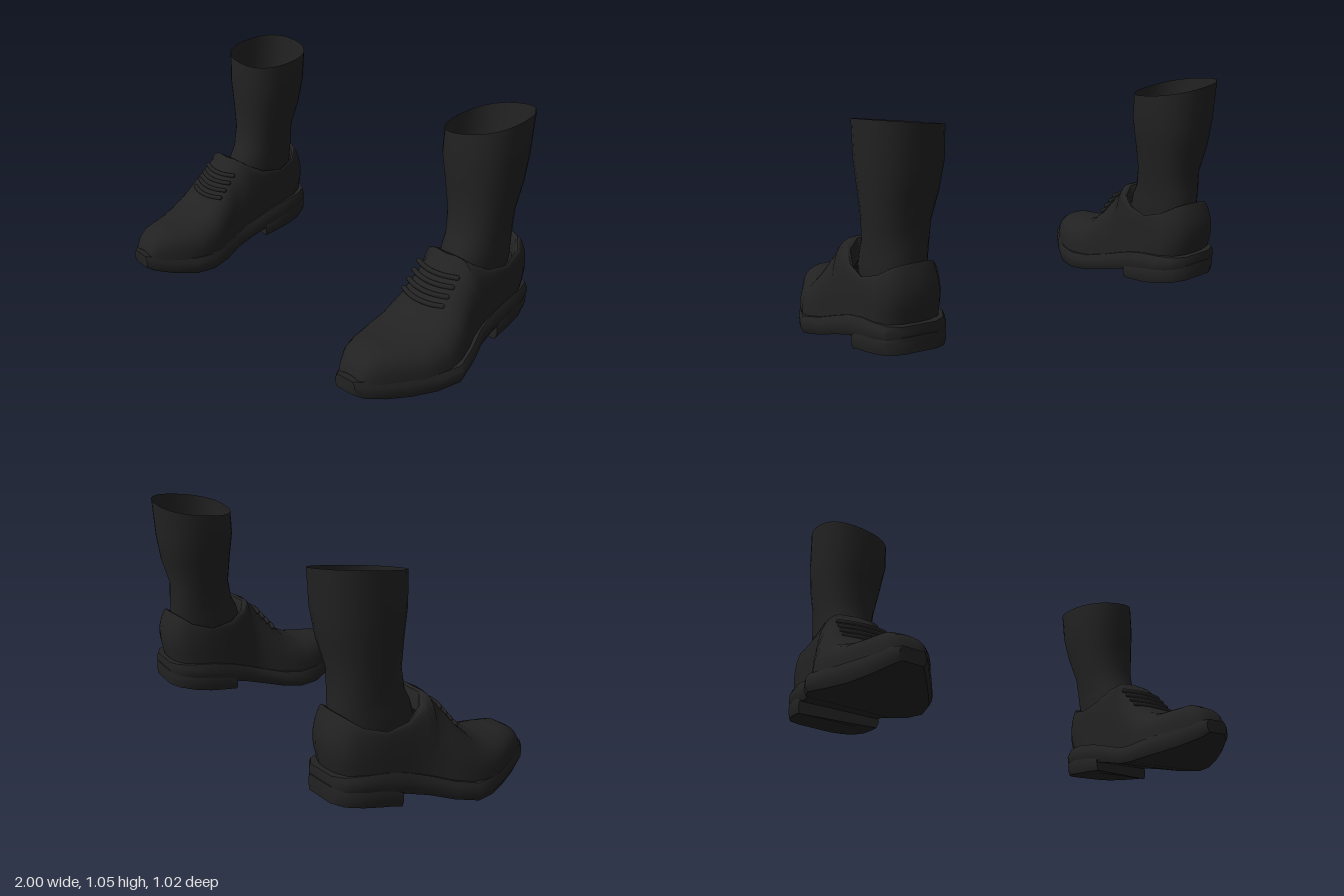
import * as THREE from 'three';
import { toCreasedNormals } from 'three/addons/utils/BufferGeometryUtils.js';

const black = new THREE.MeshStandardMaterial({ color: 0x222222, side: THREE.DoubleSide });
black.name = 'black leather';

// Skin a row of cross-sections, each a list of [x, y, z]
function loft(sections, { closed = true, capStart = false, capEnd = false, skip = -1, crease = 0.7 } = {}) {
  const n = sections[0].length, pos = sections.flat(2), index = [];
  for (let i = 0; i < sections.length - 1; i++) {
    for (let j = 0; j < (closed ? n : n - 1); j++) {
      if (j === skip) continue;
      const k = (j + 1) % n, a = i * n + j, b = i * n + k, c = b + n, d = a + n;
      index.push(a, b, c, a, c, d);
    }
  }
  const cap = (s, start) => {
    const mid = [0, 1, 2].map(c => sections[s].reduce((t, p) => t + p[c], 0) / n);
    const m = pos.length / 3;
    pos.push(...mid);
    for (let j = 0; j < n; j++) {
      const a = s * n + j, b = s * n + (j + 1) % n;
      index.push(m, start ? b : a, start ? a : b);
    }
  };
  if (capStart) cap(0, true);
  if (capEnd) cap(sections.length - 1, false);
  const g = new THREE.BufferGeometry();
  g.setAttribute('position', new THREE.Float32BufferAttribute(pos, 3));
  g.setIndex(index);
  return toCreasedNormals(g, crease);
}

function part(parent, geometry, name) {
  const m = new THREE.Mesh(geometry, black);
  m.name = name;
  parent.add(m);
}

const lerp = THREE.MathUtils.lerp;
const tilt = x => 0.06 * (x - 0.75); // the shoe leans slightly to its inner side

// Sole and heel stations: z, inner x, outer x, bottom y, top y, skew in z
const SOLE = [
  [0.512, 0.68, 0.79, 0.068, 0.128], [0.48, 0.655, 0.825, 0.05, 0.126], [0.4, 0.605, 0.87, 0.03, 0.112],
  [0.3, 0.55, 0.92, 0.018, 0.102], [0.2, 0.532, 0.968, 0.019, 0.1], [0.1, 0.55, 1.0, 0.032, 0.11],
  [0, 0.582, 0.972, 0.055, 0.135], [-0.1, 0.58, 0.935, 0.088, 0.172], [-0.2, 0.57, 0.92, 0.118, 0.208],
  [-0.3, 0.565, 0.915, 0.14, 0.232], [-0.4, 0.575, 0.905, 0.16, 0.242], [-0.47, 0.61, 0.88, 0.175, 0.244],
  [-0.5, 0.66, 0.83, 0.18, 0.244],
];
const HEEL = [
  [-0.17, 0.575, 0.915, 0.068, 0.14, 0.055], [-0.24, 0.568, 0.915, 0.08, 0.16, 0.02], [-0.32, 0.567, 0.912, 0.092, 0.18],
  [-0.4, 0.577, 0.903, 0.108, 0.19], [-0.47, 0.612, 0.878, 0.122, 0.2], [-0.504, 0.662, 0.828, 0.13, 0.2],
];
const slab = (rows, r) => rows.map(([z, a, b, lo, hi, skew = 0]) => {
  const e = (hi - lo) * 0.3;
  return [[a + r, lo], [a, lo + e], [a, hi - e], [a + r, hi], [b - r, hi], [b, hi - e], [b, lo + e], [b - r, lo]]
    .map(([x, y]) => [x, y + tilt(x), z - skew * (x - a) / (b - a)]);
});

// Upper stations: base z, inner x, outer x, y; then ridge or collar z, inner x, outer x, y
const VAMP = [
  [0.492, 0.69, 0.785, 0.115, 0.49, 0.74, 0.74, 0.135], [0.485, 0.67, 0.805, 0.115, 0.48, 0.74, 0.74, 0.172],
  [0.46, 0.65, 0.83, 0.11, 0.455, 0.74, 0.74, 0.203], [0.41, 0.615, 0.86, 0.105, 0.41, 0.74, 0.74, 0.228],
  [0.34, 0.58, 0.895, 0.1, 0.34, 0.745, 0.745, 0.231], [0.25, 0.555, 0.94, 0.095, 0.25, 0.745, 0.745, 0.236],
  [0.15, 0.56, 0.97, 0.1, 0.15, 0.745, 0.745, 0.277], [0.07, 0.58, 0.965, 0.115, 0.07, 0.745, 0.745, 0.353],
  [0, 0.6, 0.945, 0.135, 0, 0.745, 0.745, 0.44], [-0.05, 0.602, 0.925, 0.15, -0.05, 0.745, 0.745, 0.494],
];
const QUARTERS = [
  [-0.06, 0.602, 0.922, 0.155, -0.06, 0.69, 0.8, 0.495], [-0.12, 0.597, 0.91, 0.175, -0.1, 0.63, 0.855, 0.465],
  [-0.2, 0.59, 0.905, 0.2, -0.18, 0.603, 0.882, 0.422], [-0.3, 0.587, 0.9, 0.225, -0.29, 0.592, 0.888, 0.405],
  [-0.39, 0.6, 0.89, 0.235, -0.39, 0.612, 0.868, 0.437], [-0.45, 0.635, 0.86, 0.24, -0.44, 0.655, 0.828, 0.473],
  [-0.472, 0.69, 0.8, 0.24, -0.455, 0.7, 0.785, 0.482], [-0.477, 0.745, 0.745, 0.24, -0.459, 0.745, 0.745, 0.484],
];
const STEPS = 9;
function arch([bz, bi, bo, by, tz, ti, to, ty]) {
  const side = (bx, tx) => Array.from({ length: STEPS + 1 }, (_, j) => {
    const t = j / STEPS * Math.PI / 2;
    const up = Math.pow(Math.sin(t), 0.75), inward = 1 - Math.pow(Math.max(0, Math.cos(t)), 0.75);
    const bulge = bz < -0.38 ? 0.025 * Math.sin(Math.PI * up) : 0;
    return [lerp(bx, tx, inward), lerp(by + tilt(bx), ty, up), lerp(bz, tz, up) - bulge];
  });
  return [...side(bi, ti), ...side(bo, to).reverse()];
}

// Sock rings: y, inner x, outer x, front z, back z
const SOCK = [
  [0.28, 0.64, 0.84, -0.1, -0.42], [0.4, 0.62, 0.855, -0.08, -0.44], [0.47, 0.618, 0.852, -0.1, -0.445],
  [0.52, 0.615, 0.852, -0.128, -0.445], [0.62, 0.6, 0.86, -0.15, -0.44], [0.75, 0.573, 0.875, -0.142, -0.48],
  [0.87, 0.553, 0.885, -0.13, -0.5], [1.015, 0.553, 0.89, -0.135, -0.512],
];
function sockRing([y, a, b, f, k], i) {
  const top = i === SOCK.length - 1;
  return Array.from({ length: 28 }, (_, j) => {
    const t = j / 28 * Math.PI * 2, round = v => Math.sign(v) * Math.pow(Math.abs(v), 0.85);
    const x = (a + b) / 2 + (b - a) / 2 * round(Math.cos(t));
    const z = (f + k) / 2 - (f - k) / 2 * round(Math.sin(t));
    return [x, top ? y + 0.16 * (x - 0.72) - 0.13 * (z + 0.32) : y, z];
  });
}

function createShoe(name) {
  const shoe = new THREE.Group();
  shoe.name = name;
  part(shoe, loft(slab(SOLE, 0.012), { capStart: true, capEnd: true }), 'sole');
  part(shoe, loft(slab(HEEL, 0.008), { capStart: true, capEnd: true }), 'heel');
  part(shoe, loft([...VAMP, ...QUARTERS].map(arch), { closed: false, skip: STEPS, crease: 1.1 }), 'upper');

  // Lining folds in from the collar to the sock
  const rim = [
    ...QUARTERS.map(q => [q[6], q[7], q[4]]),
    ...QUARTERS.slice(0, -1).reverse().map(q => [q[5], q[7], q[4]]),
  ];
  const inset = (s, drop) => rim.map(([x, y, z]) => [lerp(0.742, x, s), y - drop, lerp(-0.27, z, s)]);
  part(shoe, loft([rim, inset(0.94, 0.006), inset(0.87, 0.08)], { crease: 0.9 }), 'collarLining');
  part(shoe, loft(SOCK.map(sockRing), { capStart: true, crease: 0.9 }), 'sock');

  // Four laces bowed across the instep
  for (let i = 0; i < 4; i++) {
    const z = 0.102 - i * 0.029, y = 0.328 + i * 0.033;
    const path = new THREE.CatmullRomCurve3([-0.105, -0.06, 0, 0.06, 0.105].map(d => {
      const s = (d / 0.105) ** 2;
      return new THREE.Vector3(0.745 + d, y + 0.004 * s, z - 0.025 * s);
    }));
    part(shoe, new THREE.TubeGeometry(path, 12, 0.011, 8), 'lace');
    for (const t of [0, 1]) {
      const end = new THREE.SphereGeometry(0.011, 8, 6);
      end.translate(...path.getPoint(t).toArray());
      part(shoe, end, 'laceEnd');
    }
  }
  return shoe;
}

export function createModel() {
  const model = new THREE.Group();
  model.name = 'pairOfShoes';
  const left = createShoe('leftShoe'), right = createShoe('rightShoe');
  right.scale.x = -1;
  model.add(left, right);
  return model;
}
